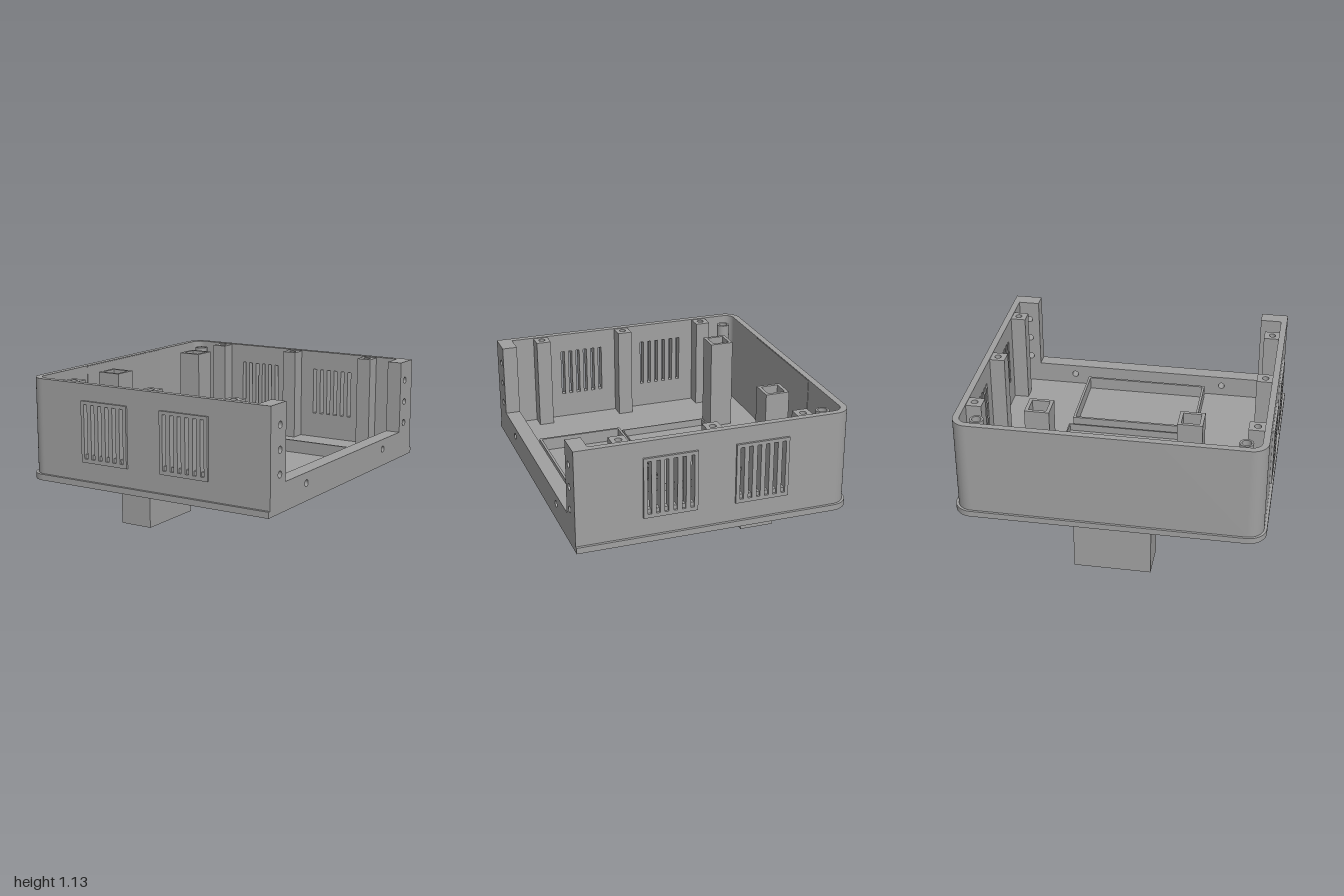
import * as THREE from 'three';
import { toCreasedNormals } from 'three/addons/utils/BufferGeometryUtils.js';

const grey = new THREE.MeshStandardMaterial({ color: 0xa0a0a0 });
grey.name = 'plain grey';

// Heights of the main levels
const BASE = 0.46, FLOOR = 0.5, TOP = 1.13;

function rect(x0, y0, x1, y1, Type = THREE.Shape) {
  return new Type([[x0, y0], [x1, y0], [x1, y1], [x0, y1]].map(p => new THREE.Vector2(...p)));
}

function circle(x, y, r) {
  return new THREE.Path().absarc(x, y, r, 0, Math.PI * 2, true);
}

// Tray outline: square corners at +x, rounded corners at -x
function tray(x0, x1, z, r) {
  const s = new THREE.Shape();
  s.moveTo(x1, -z);
  s.lineTo(x1, z);
  s.lineTo(x0 + r, z);
  s.absarc(x0 + r, z - r, r, Math.PI / 2, Math.PI, false);
  s.lineTo(x0, -z + r);
  s.absarc(x0 + r, -z + r, r, Math.PI, Math.PI * 1.5, false);
  s.closePath();
  return s;
}

function extrude(shape, depth) {
  return new THREE.ExtrudeGeometry(shape, { depth, bevelEnabled: false, curveSegments: 10 });
}

export function createModel() {
  const model = new THREE.Group();

  const add = (name, geometry) => {
    const mesh = new THREE.Mesh(toCreasedNormals(geometry, 0.6), grey);
    mesh.name = name;
    model.add(mesh);
    return mesh;
  };
  // Extrude a plan drawn in x and z from y0 up to y1
  const plan = (name, shape, y0, y1, holes = []) => {
    shape.holes.push(...holes);
    return add(name, extrude(shape, y1 - y0).rotateX(Math.PI / 2).translate(0, y1, 0));
  };
  const screwHoles = () => [-0.2, 0.2].map(z => circle(-0.592, z, 0.017));

  // Floor with projecting rim and a shallow pocket
  plan('floorBottom', tray(-0.91, 0.91, 1, 0.12), BASE, 0.48, screwHoles());
  plan('floorTop', tray(-0.91, 0.91, 1, 0.12), 0.48, FLOOR,
    [...screwHoles(), rect(-0.77, -0.1, -0.53, 0.1, THREE.Path)]);

  // Foot block below the floor
  plan('foot', rect(-0.71, -0.255, -0.47, 0.255), 0, BASE, screwHoles());

  // Rounded closed end
  const end = new THREE.Shape();
  end.moveTo(-0.79, 0.982);
  end.absarc(-0.79, 0.877, 0.105, Math.PI / 2, Math.PI, false);
  end.lineTo(-0.895, -0.877);
  end.absarc(-0.79, -0.877, 0.105, Math.PI, Math.PI * 1.5, false);
  end.lineTo(-0.79, -0.94);
  end.absarc(-0.79, -0.878, 0.062, Math.PI * 1.5, Math.PI, true);
  end.lineTo(-0.852, 0.878);
  end.absarc(-0.79, 0.878, 0.062, Math.PI, Math.PI / 2, true);
  end.closePath();
  plan('closedEnd', end, FLOOR, TOP);
  plan('innerPanel', rect(-0.853, -0.43, -0.849, 0.43), FLOOR, 1.125);

  // Open end: low sill between two drilled posts
  const gate = new THREE.Shape([
    [-0.982, FLOOR], [0.982, FLOOR], [0.982, TOP], [0.8, TOP],
    [0.8, 0.643], [-0.8, 0.643], [-0.8, TOP], [-0.982, TOP],
  ].map(p => new THREE.Vector2(...p)));
  for (const s of [-1, 1]) {
    for (const y of [0.7, 0.85, 1.0]) gate.holes.push(circle(s * 0.87, y, 0.022));
    gate.holes.push(circle(s * 0.54, 0.575, 0.022));
  }
  add('openEnd', extrude(gate, 0.1).rotateY(Math.PI / 2).translate(0.81, 0, 0));

  // Side walls with slotted vents and raised vent frames
  const slots = (x0, y0) => Array.from({ length: 6 }, (_, i) => {
    const x = x0 + 0.036 + i * 0.0553;
    return rect(x - 0.0125, y0, x + 0.0125, 1.0, THREE.Path);
  });
  const vents = [-0.468, 0.132];
  for (const s of [-1, 1]) {
    const wall = rect(-0.79, FLOOR, 0.81, TOP);
    for (const x of vents) wall.holes.push(...slots(x, 0.675));
    add('sideWall', extrude(wall, 0.042).translate(0, 0, s > 0 ? 0.94 : -0.982));
    for (const x of vents) {
      const frame = rect(x, 0.623, x + 0.35, 1.022);
      frame.holes.push(...slots(x, 0.648));
      add('ventFrame', extrude(frame, 0.015).translate(0, 0, s > 0 ? 0.982 : -0.997));
    }

    // Square screw pillars along the wall
    for (const x of [-0.595, 0.005, 0.605]) {
      plan('wallPillar', rect(x - 0.05, s * 0.89 - 0.05, x + 0.05, s * 0.89 + 0.05),
        FLOOR, 1.125, [circle(x, s * 0.895, 0.022)]);
    }

    // Round corner tube and hollow square tower
    const tube = new THREE.Shape().absarc(-0.755, s * 0.842, 0.044, 0, Math.PI * 2, false);
    plan('cornerTube', tube, FLOOR, 1.1, [circle(-0.755, s * 0.842, 0.03)]);
    const c = s * 0.482;
    plan('tower', rect(-0.652, c - 0.079, -0.493, c + 0.079), FLOOR, 1.125,
      [rect(-0.63, c - 0.057, -0.515, c + 0.057, THREE.Path)]);
  }

  // Low rectangular frames on the floor
  const tub = (name, x0, z0, x1, z1, t, y) => plan(name, rect(x0, z0, x1, z1), FLOOR, y,
    [rect(x0 + t, z0 + t, x1 - t, z1 - t, THREE.Path)]);
  tub('largeFloorFrame', -0.447, -0.455, 0.16, 0.45, 0.008, 0.55);
  tub('smallFloorFrame', 0.188, -0.432, 0.768, 0.422, 0.016, 0.585);

  return model;
}
